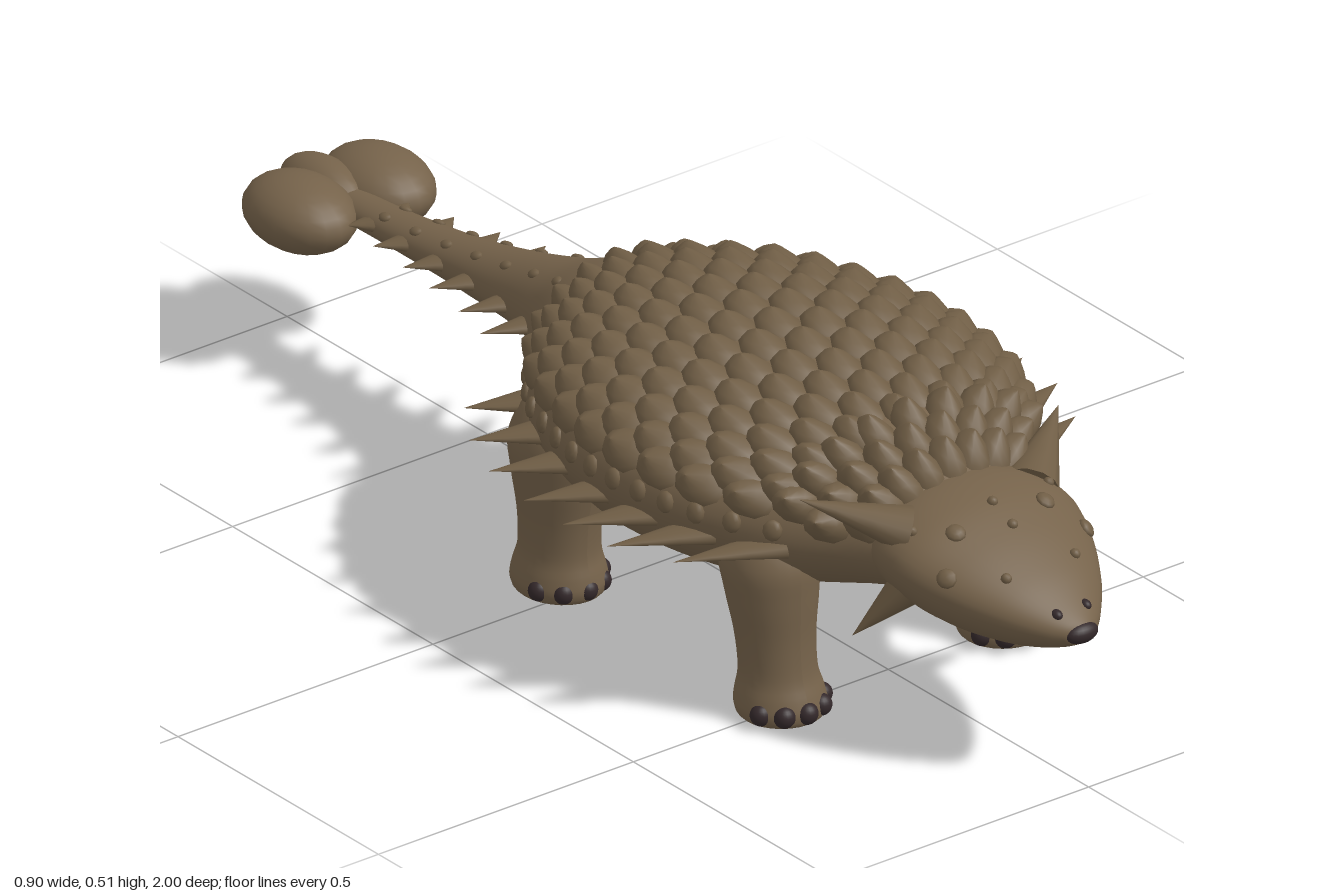
import * as THREE from 'three';
import { mergeGeometries } from 'three/addons/utils/BufferGeometryUtils.js';

const V = (x, y, z) => new THREE.Vector3(x, y, z);
const mat = (name, color) => Object.assign(new THREE.MeshStandardMaterial({ color }), { name });

// Cross-section stations: z, half width, top, bottom, height of the widest line
const BODY = [
  [-0.88, 0.03, 0.285, 0.235, 0.26], [-0.7, 0.04, 0.298, 0.243, 0.27],
  [-0.5, 0.055, 0.33, 0.245, 0.285], [-0.3, 0.09, 0.385, 0.25, 0.3],
  [-0.2, 0.15, 0.425, 0.235, 0.31], [-0.1, 0.24, 0.458, 0.2, 0.32],
  [0, 0.305, 0.477, 0.17, 0.33], [0.2, 0.357, 0.488, 0.15, 0.335],
  [0.4, 0.335, 0.477, 0.162, 0.335], [0.52, 0.275, 0.463, 0.188, 0.33],
  [0.62, 0.19, 0.435, 0.215, 0.32], [0.72, 0.13, 0.39, 0.235, 0.32],
];
const HEAD = [
  [0.6, 0.1, 0.385, 0.26, 0.32], [0.66, 0.16, 0.41, 0.235, 0.325],
  [0.74, 0.174, 0.405, 0.215, 0.325], [0.82, 0.15, 0.376, 0.208, 0.305],
  [0.9, 0.104, 0.335, 0.214, 0.285], [0.96, 0.055, 0.297, 0.232, 0.268],
  [0.99, 0.022, 0.277, 0.248, 0.262],
];

// Smooth interpolation between stations
function section(table, z) {
  const n = table.length - 1;
  let i = 0;
  while (i < n - 1 && z > table[i + 1][0]) i++;
  const a = table[i], b = table[i + 1], h = b[0] - a[0], t = (z - a[0]) / h;
  const slope = (k, c) => {
    const p = table[Math.max(k - 1, 0)], q = table[Math.min(k + 1, n)];
    return (q[c] - p[c]) / (q[0] - p[0]);
  };
  return [1, 2, 3, 4].map((c) => {
    const t2 = t * t, t3 = t2 * t;
    return (2 * t3 - 3 * t2 + 1) * a[c] + (t3 - 2 * t2 + t) * h * slope(i, c)
      + (3 * t2 - 2 * t3) * b[c] + (t3 - t2) * h * slope(i + 1, c);
  });
}

function surface(table, z, angle, k = 1) {
  const [w, top, bot, mid] = section(table, z), s = Math.sin(angle);
  return V(w * Math.cos(angle) * k, mid + s * k * (s > 0 ? top - mid : mid - bot), z);
}

// Closed skin through the stations
function loft(table, rows, cols) {
  const z0 = table[0][0], z1 = table[table.length - 1][0], pos = [], index = [];
  for (let i = -1; i <= rows + 1; i++) {
    const z = z0 + (z1 - z0) * THREE.MathUtils.clamp(i / rows, 0, 1);
    const k = i < 0 || i > rows ? 0.001 : 1;
    for (let j = 0; j < cols; j++) pos.push(...surface(table, z, (j / cols) * Math.PI * 2, k).toArray());
  }
  for (let i = 0; i < rows + 2; i++) for (let j = 0; j < cols; j++) {
    const a = i * cols + j, b = i * cols + (j + 1) % cols;
    index.push(a, b, a + cols, b, b + cols, a + cols);
  }
  const g = new THREE.BufferGeometry();
  g.setAttribute('position', new THREE.Float32BufferAttribute(pos, 3));
  g.setIndex(index);
  g.computeVertexNormals();
  return g;
}

// Keeled armour scale: pointed dome with its peak pushed backwards
const scaleShape = new THREE.LatheGeometry(
  [[0.5, -0.3], [0.48, 0.15], [0.32, 0.55], [0.12, 0.88], [0, 1]].map((p) => new THREE.Vector2(...p)), 10);
scaleShape.applyMatrix4(new THREE.Matrix4().set(1, 0, 0, 0, 0, 1, 0, 0, 0, -0.2, 1, 0, 0, 0, 0, 1));
const studShape = new THREE.SphereGeometry(0.5, 10, 6);

// Sets a shape on the skin, aligned with its normal
function onSkin(table, shape, z, angle, w, h, l) {
  const e = 0.005, p = surface(table, z, angle);
  const tz = surface(table, z + e, angle).sub(surface(table, z - e, angle)).normalize();
  const ta = surface(table, z, angle + e).sub(surface(table, z, angle - e)).normalize();
  const n = ta.clone().cross(tz).normalize(), x = n.clone().cross(tz);
  const m = new THREE.Matrix4().makeBasis(x, n, tz).setPosition(p).scale(V(w, h, l));
  return shape.clone().applyMatrix4(m);
}

// Flattened cone from a base point to a tip
function spike(base, tip, wide, thick) {
  const y = tip.clone().sub(base), len = y.length();
  y.normalize();
  const z = V(0, 1, 0).addScaledVector(y, -y.y).normalize();
  const m = new THREE.Matrix4().makeBasis(y.clone().cross(z), y, z).setPosition(base).scale(V(wide, len, thick));
  return new THREE.ConeGeometry(1, 1, 12, 3).translate(0, 0.5, 0).applyMatrix4(m);
}

function ball(x, y, z, rx, ry, rz) {
  return new THREE.SphereGeometry(1, 20, 14).scale(rx, ry, rz).translate(x, y, z);
}

export function createModel() {
  const model = new THREE.Group();
  model.name = 'armouredDinosaur';
  const skin = mat('skin brown', 0x75624a);
  const armour = mat('armour brown', 0x6f5d45);
  const dark = mat('claw dark', 0x33282a);
  const add = (name, geometry, material) => {
    const mesh = new THREE.Mesh(Array.isArray(geometry) ? mergeGeometries(geometry) : geometry, material);
    mesh.name = name;
    model.add(mesh);
  };
  const D = Math.PI / 180;

  add('bodyAndTail', loft(BODY, 90, 48), skin);
  add('head', loft(HEAD, 36, 40), skin);
  add('tailClub', [
    ball(0.077, 0.262, -0.87, 0.08, 0.058, 0.105), ball(-0.077, 0.262, -0.87, 0.08, 0.058, 0.105),
    ball(0, 0.262, -0.91, 0.05, 0.05, 0.09)], skin);

  // Staggered back armour
  const scales = [];
  for (let r = 0; r < 19; r++) {
    const z = -0.16 + r * 0.0385, w = section(BODY, z)[0];
    for (let c = -7; c <= 7; c++) {
      if ((c + r) % 2 !== 0) continue;
      scales.push(onSkin(BODY, scaleShape, z, (90 + c * 9.6) * D, 0.02 + w * 0.145, 0.024, 0.086));
    }
  }
  add('backScales', scales, armour);

  // Neck bands
  const bands = [];
  [0.555, 0.6, 0.645].forEach((z, r) => {
    for (let c = -4; c <= 4; c++) {
      const a = 90 + (c + (r % 2) * 0.5) * 16;
      bands.push(onSkin(BODY, scaleShape, z, a * D, 0.062, 0.036, 0.08));
    }
  });
  add('neckScales', bands, armour);

  // Flank studs and small tail bumps
  const studs = [];
  for (const side of [0, 1]) {
    const at = (a) => (side ? 180 - a : a) * D;
    for (let i = 0; i < 13; i++) studs.push(onSkin(BODY, studShape, -0.12 + i * 0.055, at(6), 0.036, 0.018, 0.032));
    for (let i = 0; i < 7; i++) studs.push(onSkin(BODY, studShape, -0.25 - i * 0.08, at(58), 0.018, 0.012, 0.026));
  }
  add('flankStuds', studs, armour);

  // Side, tail and head spikes
  const sideTips = [[0.33, -0.14], [0.39, -0.05], [0.43, 0.05], [0.447, 0.16], [0.452, 0.26], [0.442, 0.36], [0.395, 0.465]];
  const tailTips = [[0.165, -0.31], [0.137, -0.4], [0.115, -0.5], [0.096, -0.59], [0.08, -0.685], [0.062, -0.775]];
  const sides = [], tails = [], horns = [];
  for (const s of [1, -1]) {
    for (const [x, z] of sideTips) {
      const zb = z + 0.065, xb = section(BODY, zb)[0] - 0.035;
      sides.push(spike(V(s * xb, 0.308, zb), V(s * x, 0.3, z), 0.042, 0.017));
    }
    for (const [x, z] of tailTips) {
      const zb = z + 0.025, [w, , , mid] = section(BODY, zb);
      tails.push(spike(V(s * (w - 0.02), mid + 0.005, zb), V(s * x, mid + 0.005, z), 0.03, 0.014));
    }
    horns.push(spike(V(s * 0.12, 0.365, 0.7), V(s * 0.255, 0.42, 0.6), 0.048, 0.036));
    horns.push(spike(V(s * 0.135, 0.275, 0.715), V(s * 0.205, 0.195, 0.67), 0.034, 0.03));
  }
  add('sideSpikes', sides, armour);
  add('tailSpikes', tails, armour);
  add('headHorns', horns, armour);

  // Face: brow and cheek bumps, crown dots, nostrils and beak tip
  const bumps = [[0.82, 24], [0.82, 156], [0.78, 58], [0.78, 122], [0.73, 40], [0.73, 140], [0.76, 90], [0.81, 90], [0.88, 55], [0.88, 125]];
  add('faceBumps', bumps.map(([z, a], i) => onSkin(HEAD, studShape, z, a * D, i < 4 ? 0.032 : 0.018, 0.018, i < 4 ? 0.034 : 0.018)), armour);
  add('nostrils', [1, -1].map((s) => ball(s * 0.028, 0.291, 0.955, 0.009, 0.009, 0.012)), dark);
  add('beakTip', ball(0, 0.263, 0.982, 0.03, 0.017, 0.018), dark);

  // Legs with toes
  const profile = [[0.001, 0.002], [0.06, 0.003], [0.073, 0.02], [0.07, 0.045], [0.062, 0.08], [0.064, 0.14], [0.074, 0.21], [0.078, 0.27], [0.05, 0.33], [0.001, 0.345]];
  const curve = new THREE.SplineCurve(profile.map((p) => new THREE.Vector2(...p)));
  const leg = (x, z, lean, depth) => {
    const g = new THREE.LatheGeometry(curve.getPoints(36), 28).scale(1, 1, depth), p = g.attributes.position;
    for (let i = 0; i < p.count; i++) p.setZ(i, p.getZ(i) - lean * p.getY(i));
    g.computeVertexNormals();
    return g.translate(x, 0, z);
  };
  const toes = (x, z, depth) => [-68, -34, 0, 34, 68].map((a) =>
    ball(x + 0.064 * Math.sin(a * D), 0.025, z + 0.064 * depth * Math.cos(a * D), 0.018, 0.018, 0.017));
  for (const [s, side] of [[1, 'left'], [-1, 'right']]) {
    add(side + 'FrontLeg', leg(s * 0.217, 0.51, 0.12, 1), skin);
    add(side + 'FrontToes', toes(s * 0.217, 0.51, 1), dark);
    add(side + 'HindLeg', leg(s * 0.228, -0.032, -0.02, 1.12), skin);
    add(side + 'HindToes', toes(s * 0.228, -0.032, 1.1), dark);
  }
  return model;
}
